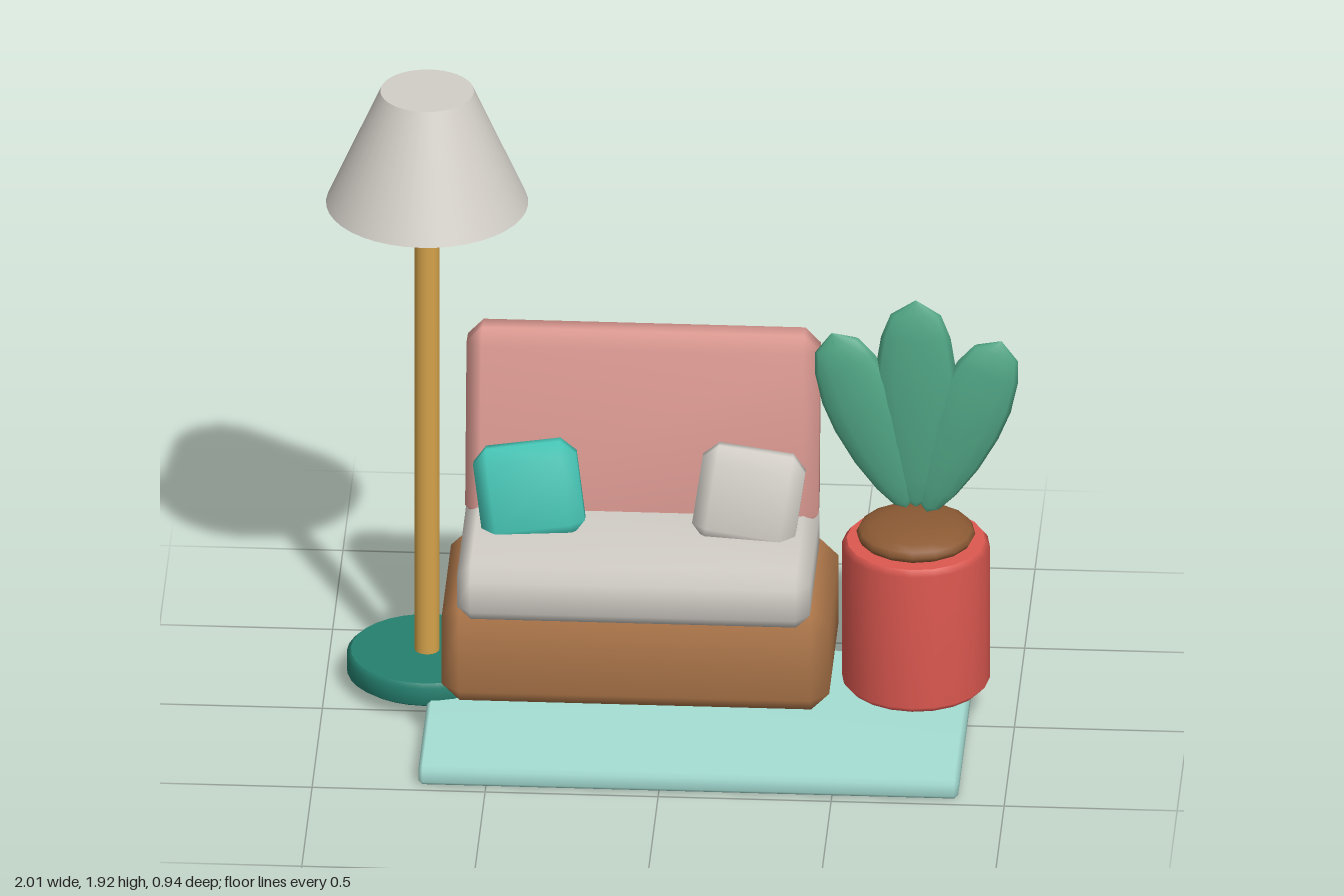
import * as THREE from 'three';
import { mergeVertices } from 'three/addons/utils/BufferGeometryUtils.js';
import { ConvexGeometry } from 'three/addons/geometries/ConvexGeometry.js';

const paint = (name, color) => {
  const m = new THREE.MeshStandardMaterial({ color });
  m.name = name;
  return m;
};

// Box with a single 45 degree chamfer and soft shading
function chamferBox(w, h, d, c) {
  const pts = [];
  for (const x of [-w / 2, w / 2]) for (const y of [-h / 2, h / 2]) for (const z of [-d / 2, d / 2]) {
    const ix = x - Math.sign(x) * c, iy = y - Math.sign(y) * c, iz = z - Math.sign(z) * c;
    pts.push(new THREE.Vector3(x, iy, iz), new THREE.Vector3(ix, y, iz), new THREE.Vector3(ix, iy, z));
  }
  let geo = new ConvexGeometry(pts);
  geo.deleteAttribute('normal');
  geo = mergeVertices(geo, 1e-4);
  geo.computeVertexNormals();
  return geo;
}

const lathe = (points, sides) =>
  new THREE.LatheGeometry(points.map(([r, y]) => new THREE.Vector2(r, y)), sides);

export function createModel() {
  const gray = paint('warm gray', 0xd2cec7);
  const pink = paint('dusty pink', 0xdc9a92);
  const brown = paint('sofa brown', 0xae774a);
  const gold = paint('golden wood', 0xd4a24a);
  const red = paint('pot red', 0xdc5850);
  const soilBrown = paint('soil brown', 0x8c5a34);
  const green = paint('leaf green', 0x50a585);
  const teal = paint('bright teal', 0x45c5b5);
  const darkTeal = paint('dark teal', 0x25806f);
  const mint = paint('mint', 0xa5ded4);

  const model = new THREE.Group();
  const group = (name) => {
    const g = new THREE.Group();
    g.name = name;
    model.add(g);
    return g;
  };
  const add = (parent, name, geo, mat, x, y, z, rx = 0, rz = 0) => {
    const m = new THREE.Mesh(geo, mat);
    m.name = name;
    m.position.set(x, y, z);
    m.rotation.set(rx, 0, rz);
    parent.add(m);
    return m;
  };

  add(model, 'rug', chamferBox(1.56, 0.06, 0.82, 0.012), mint, 0.085, 0.03, 0.063);

  // Sofa
  const sofa = group('sofa');
  add(sofa, 'sofaBase', chamferBox(1.12, 0.32, 0.56, 0.052), brown, -0.08, 0.332, 0.03);
  add(sofa, 'seatCushion', chamferBox(1.02, 0.178, 0.55, 0.04), gray, -0.083, 0.549, 0.07);
  add(sofa, 'backrest', chamferBox(1.02, 0.59, 0.166, 0.045), pink, -0.083, 0.866, -0.165, -0.135);
  for (const x of [-0.477, 0.315])
    add(sofa, 'sofaLeg', new THREE.CylinderGeometry(0.043, 0.043, 0.16, 16), gold, x, 0.13, -0.048);
  const pillow = chamferBox(0.3, 0.285, 0.125, 0.042);
  add(sofa, 'leftPillow', pillow, gray, 0.235, 0.742, 0.035, -0.2, -0.14);
  add(sofa, 'rightPillow', pillow, teal, -0.4, 0.742, 0.035, -0.2, 0.14);

  // Floor lamp
  const lamp = group('floorLamp');
  const lx = -0.708, lz = -0.18;
  add(lamp, 'lampBase', lathe([[0, 0], [0.215, 0], [0.215, 0], [0.232, 0.012], [0.232, 0.063],
    [0.22, 0.075], [0.22, 0.075], [0, 0.075]], 32), darkTeal, lx, 0.035, lz);
  add(lamp, 'lampPole', new THREE.CylinderGeometry(0.036, 0.036, 1.46, 20), gold, lx, 0.82, lz);
  add(lamp, 'lampSocket', new THREE.SphereGeometry(0.07, 16, 8).scale(1, 0.5, 1), gold, lx, 1.562, lz);
  add(lamp, 'lampShade', new THREE.CylinderGeometry(0.135, 0.292, 0.36, 40), gray, lx, 1.739, lz);

  // Potted plant
  const plant = group('pottedPlant');
  const px = 0.711, pz = -0.069;
  add(plant, 'pot', lathe([[0, 0], [0.198, 0], [0.198, 0], [0.214, 0.018], [0.214, 0.442],
    [0.2, 0.46], [0.2, 0.46], [0, 0.46]], 20), red, px, 0.107, pz);
  add(plant, 'soil', new THREE.SphereGeometry(1, 16, 10).scale(0.172, 0.05, 0.172), soilBrown, px, 0.588, pz);

  // Flattened leaves, widest above the middle
  const leafProfile = [[0, -1], [0.28, -0.93], [0.55, -0.72], [0.82, -0.38], [0.98, 0],
    [1, 0.32], [0.86, 0.64], [0.62, 0.86], [0, 1]];
  const leaf = (halfWidth, halfHeight) => lathe(leafProfile, 12).scale(halfWidth, halfHeight, 0.038);
  add(plant, 'centerLeaf', leaf(0.117, 0.335), green, px, 1.005, pz);
  add(plant, 'rightLeaf', leaf(0.108, 0.3), green, 0.576, 0.947, pz, 0, 0.37);
  add(plant, 'leftLeaf', leaf(0.108, 0.3), green, 0.85, 0.935, pz, 0, -0.37);

  return model;
}
